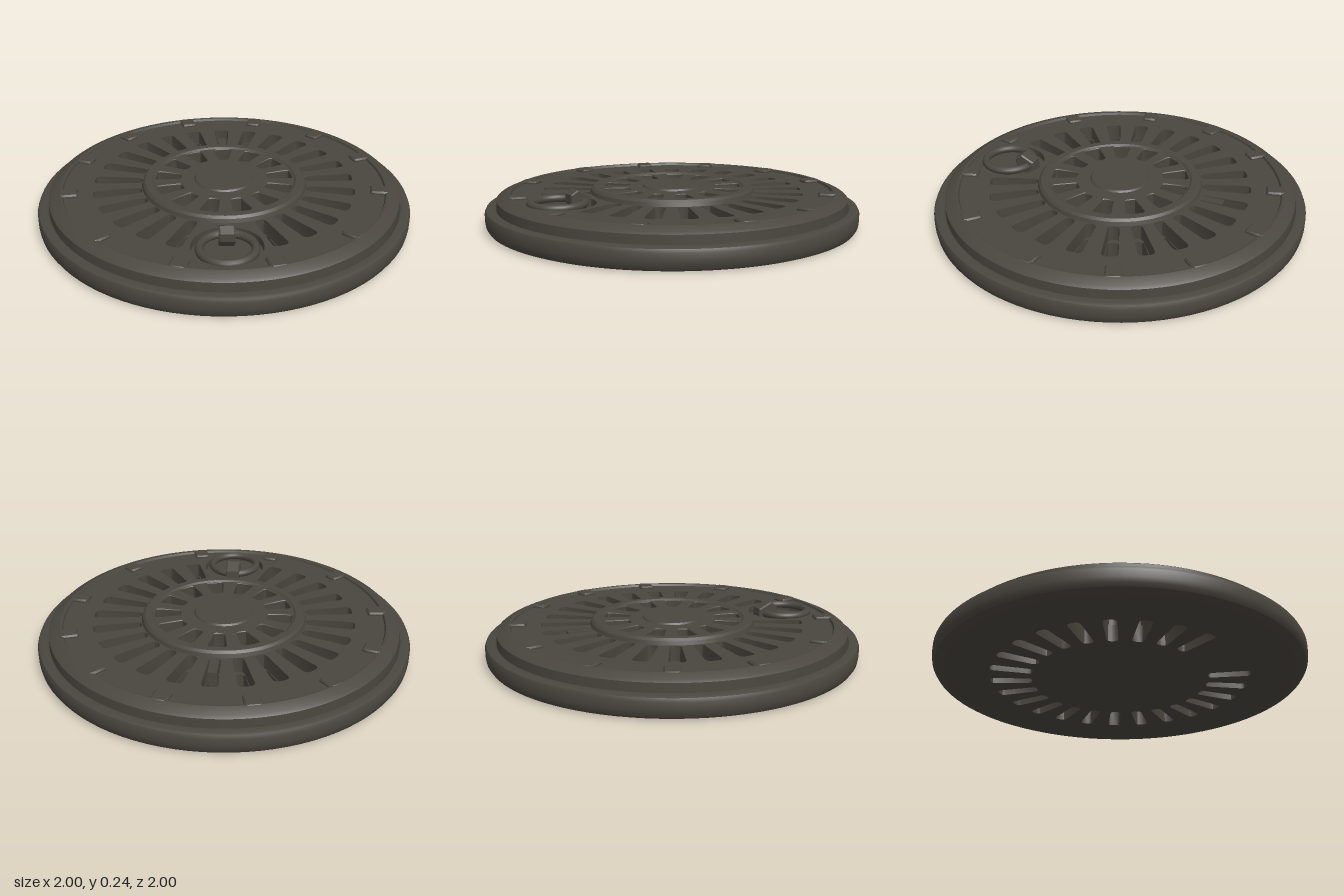
import * as THREE from 'three';
import { toCreasedNormals } from 'three/addons/utils/BufferGeometryUtils.js';

const SLOTS = 25, POCKETS = 13;
const RECESS = { z: 0.655, r: 0.175 };

// Point at radius r and sideways offset s along a spoke; angle 0 is the back
function spoke(angle, r, s) {
  const sin = Math.sin(angle), cos = Math.cos(angle);
  return new THREE.Vector2(r * sin + s * cos, r * cos - s * sin);
}

// Tapered radial outline with clipped corners
function taper(angle, r0, r1, w0, w1, c) {
  const outline = [
    [r0, -w0 + c], [r0 + c * 0.3, -w0 + c * 0.3], [r0 + c, -w0],
    [r1 - c, -w1], [r1 - c * 0.3, -w1 + c * 0.3], [r1, -w1 + c],
    [r1, w1 - c], [r1 - c * 0.3, w1 - c * 0.3], [r1 - c, w1],
    [r0 + c, w0], [r0 + c * 0.3, w0 - c * 0.3], [r0, w0 - c],
  ];
  return outline.map(([r, s]) => spoke(angle, r, s));
}

function disc(r) {
  return new THREE.Shape().absarc(0, 0, r, 0, Math.PI * 2, false);
}

function circleHole(y, r) {
  return new THREE.Path().absarc(0, y, r, 0, Math.PI * 2, true);
}

// Stand a plan shape up as a horizontal slab between two heights
function slab(shape, y0, y1, bevel = 0) {
  const geo = new THREE.ExtrudeGeometry(shape, {
    depth: y1 - y0 - bevel, curveSegments: 80, bevelEnabled: bevel > 0,
    bevelThickness: bevel, bevelSize: bevel, bevelOffset: -bevel, bevelSegments: 1,
  });
  geo.rotateX(-Math.PI / 2);
  geo.translate(0, y0, 0);
  return toCreasedNormals(geo, 0.5);
}

function lathe(points) {
  const profile = points.map(([x, y]) => new THREE.Vector2(x, y));
  return toCreasedNormals(new THREE.LatheGeometry(profile, 96), 0.5);
}

export function createModel() {
  const model = new THREE.Group();
  model.name = 'drainCover';
  const iron = new THREE.MeshStandardMaterial({ color: 0x4a463f });
  iron.name = 'darkIron';

  const add = (name, geometry, parent = model) => {
    const mesh = new THREE.Mesh(geometry, iron);
    mesh.name = name;
    parent.add(mesh);
    return mesh;
  };

  // Outer frame with rounded foot, step and sloping raised rim
  add('outerRim', lathe([
    [0.86, 0], [0.965, 0], [0.985, 0.008], [0.996, 0.025], [1, 0.05], [1, 0.09],
    [0.993, 0.106], [0.98, 0.112], [0.948, 0.112], [0.94, 0.105], [0.938, 0.155],
    [0.925, 0.165], [0.878, 0.184], [0.866, 0.182], [0.86, 0.168],
  ]));

  // Grate: narrow slots below, wider ones above; the two at the front are closed
  const lower = disc(0.862), upper = disc(0.862);
  for (let i = 0; i < SLOTS; i++) {
    if (i === 12 || i === 13) continue;
    const a = (i / SLOTS) * Math.PI * 2;
    lower.holes.push(new THREE.Path(taper(a, 0.475, 0.7, 0.03, 0.034, 0.02)));
    upper.holes.push(new THREE.Path(taper(a, 0.447, 0.705, 0.03, 0.042, 0.022)));
  }

  // Raised hub with blind pockets
  const hub = disc(0.43);
  for (let i = 0; i < POCKETS; i++) {
    const points = taper((i / POCKETS) * Math.PI * 2, 0.235, 0.37, 0.03, 0.048, 0.015);
    upper.holes.push(new THREE.Path(points));
    hub.holes.push(new THREE.Path(points));
  }
  upper.holes.push(circleHole(-RECESS.z, RECESS.r));

  add('lowerGrate', slab(lower, 0, 0.09));
  add('upperGrate', slab(upper, 0.09, 0.17));
  add('hub', slab(hub, 0.17, 0.194, 0.004));
  add('hubBand', lathe([
    [0.445, 0.168], [0.438, 0.19], [0.425, 0.202], [0.388, 0.202], [0.376, 0.192],
  ]));
  add('hubDisc', lathe([[0.163, 0.19], [0.153, 0.203], [0, 0.205]]));

  // Lugs projecting inward from the rim
  const lugs = new THREE.Group();
  lugs.name = 'rimLugs';
  model.add(lugs);
  for (const degrees of [14.5, 43, 70, 98.6, 132.5, 164.6]) {
    for (const side of [-1, 1]) {
      const a = side * THREE.MathUtils.degToRad(degrees);
      const outline = new THREE.Shape(taper(a, 0.785, 0.885, 0.042, 0.042, 0.014));
      add('rimLug', slab(outline, 0.16, 0.186, 0.008), lugs);
    }
  }

  // Recess floor under the lifting ring
  const floor = new THREE.CylinderGeometry(RECESS.r, RECESS.r, 0.04, 64);
  floor.translate(0, 0.11, RECESS.z);
  add('recessFloor', floor);

  // Lifting ring and its wedge-shaped bracket
  const ring = new THREE.TorusGeometry(0.134, 0.021, 12, 56);
  ring.rotateX(Math.PI / 2);
  ring.translate(0, 0.172, 0.678);
  add('liftingRing', ring);

  const side = new THREE.Shape([
    [0.5, 0.1], [0.51, 0.2], [0.58, 0.236], [0.62, 0.212], [0.62, 0.17], [0.57, 0.1],
  ].map(([z, y]) => new THREE.Vector2(z, y)));
  const bracket = new THREE.ExtrudeGeometry(side, {
    depth: 0.064, bevelEnabled: true, bevelThickness: 0.008,
    bevelSize: 0.006, bevelOffset: -0.006, bevelSegments: 1,
  });
  bracket.rotateY(-Math.PI / 2);
  bracket.translate(0.032, 0, 0);
  add('ringBracket', bracket);

  // Small catch bridging the rear slot
  const catchBar = new THREE.BoxGeometry(0.045, 0.06, 0.13);
  catchBar.translate(0, 0.14, -0.515);
  add('rearCatch', catchBar);

  return model;
}
